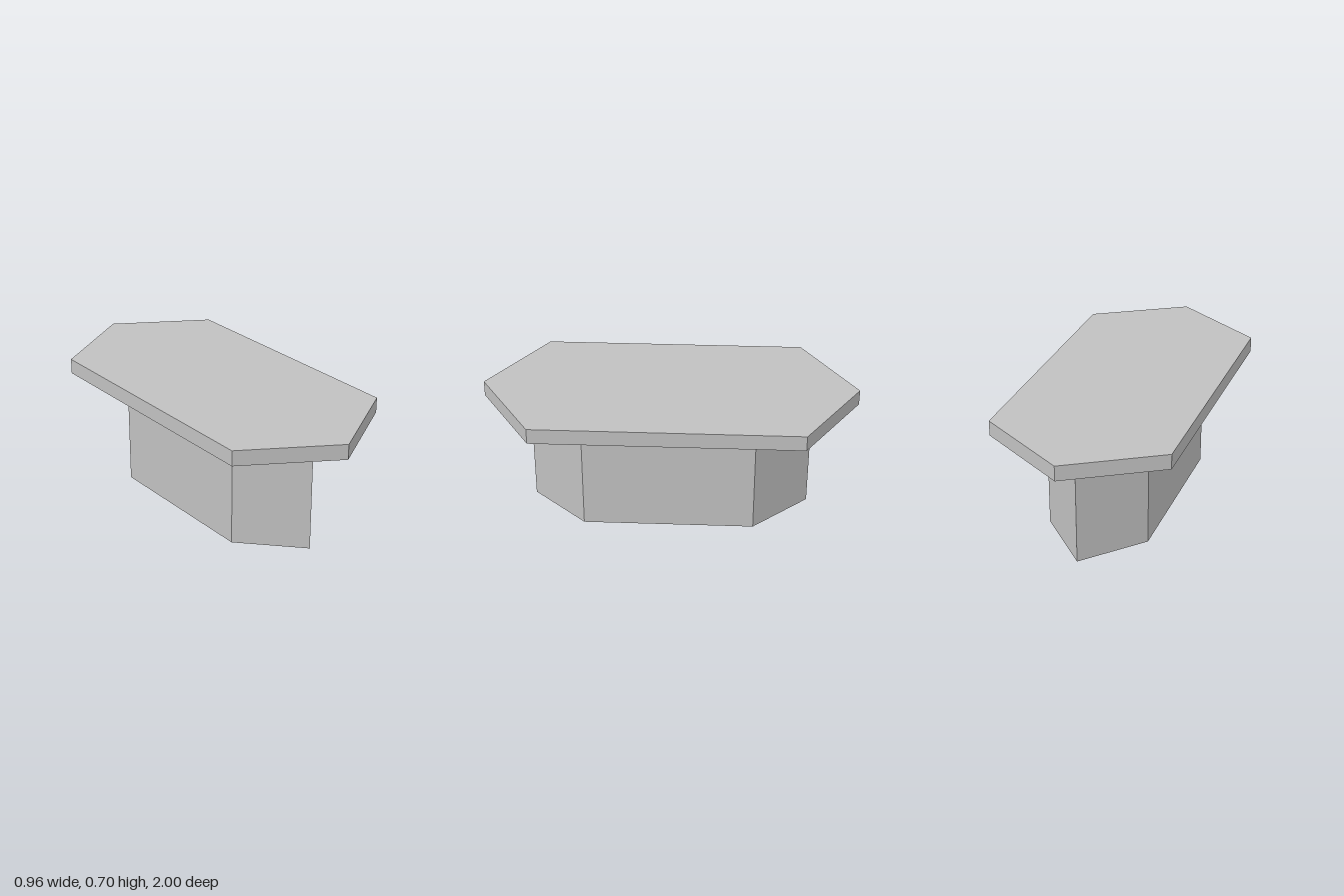
import * as THREE from 'three';

// Upright prism with an elongated hexagon plan, pointed at front and back
function hexPrism(name, halfWidth, shoulder, tip, bottom, top, material) {
  const shape = new THREE.Shape([
    [0, -tip], [halfWidth, -shoulder], [halfWidth, shoulder],
    [0, tip], [-halfWidth, shoulder], [-halfWidth, -shoulder],
  ].map(([x, y]) => new THREE.Vector2(x, y)));
  const geometry = new THREE.ExtrudeGeometry(shape, { depth: top - bottom, bevelEnabled: false });
  geometry.rotateX(-Math.PI / 2);
  geometry.translate(0, bottom, 0);
  const mesh = new THREE.Mesh(geometry, material);
  mesh.name = name;
  return mesh;
}

export function createModel() {
  const group = new THREE.Group();
  group.name = 'table';
  const grey = new THREE.MeshStandardMaterial({ color: 0xc0c0c0 });
  grey.name = 'light grey';

  // Solid pedestal and overhanging slab
  group.add(
    hexPrism('pedestal', 0.278, 0.456, 0.754, 0, 0.617, grey),
    hexPrism('tableTop', 0.481, 0.704, 1, 0.617, 0.7, grey),
  );
  return group;
}
